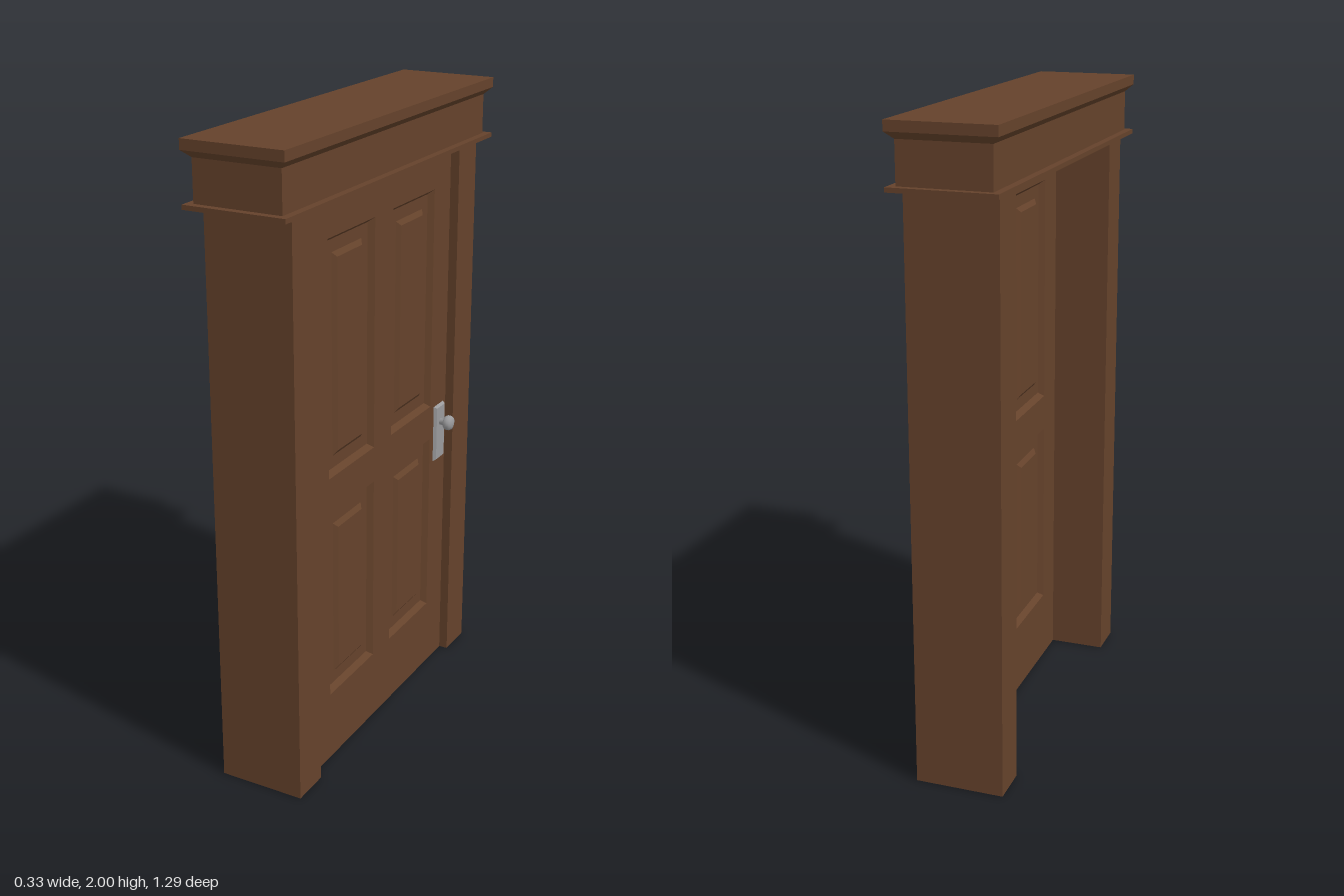
import * as THREE from 'three';

const wood = new THREE.MeshStandardMaterial({ color: 0x65422b, side: THREE.DoubleSide });
wood.name = 'brown wood';
const metal = new THREE.MeshStandardMaterial({ color: 0x9a9a9c });
metal.name = 'grey metal';

const CX = -0.002;         // middle of the frame's depth
const DOOR_T = 0.067;      // door thickness
const DOOR_X = 0.0735;     // middle of the door's depth

function add(parent, name, geometry, material, x = 0, y = 0, z = 0) {
  const mesh = new THREE.Mesh(geometry, material);
  mesh.name = name;
  mesh.position.set(x, y, z);
  parent.add(mesh);
  return mesh;
}

// Box whose bottom face is pulled in by an inset
function taperedBox(w, h, d, inset) {
  const g = new THREE.BoxGeometry(w, h, d);
  const p = g.attributes.position;
  for (let i = 0; i < p.count; i++) {
    if (p.getY(i) < 0) {
      p.setX(i, p.getX(i) - Math.sign(p.getX(i)) * inset);
      p.setZ(i, p.getZ(i) - Math.sign(p.getZ(i)) * inset);
    }
  }
  g.computeVertexNormals();
  return g;
}

// Upright post, open underneath
function postGeometry(w, h, d) {
  const g = new THREE.BoxGeometry(w, h, d);
  const index = Array.from(g.index.array);
  index.splice(18, 6);
  g.setIndex(index);
  return g;
}

// Sunken panel: nested rectangles given as [inset, depth], closed by the last one
function panelGeometry([x0, x1, y0, y1], steps) {
  const loops = steps.map(([i, z]) => [
    [x0 + i, y0 + i, z], [x1 - i, y0 + i, z], [x1 - i, y1 - i, z], [x0 + i, y1 - i, z],
  ]);
  const pos = [];
  const quad = (a, b, c, d) => pos.push(...a, ...b, ...c, ...a, ...c, ...d);
  for (let s = 0; s < loops.length - 1; s++) {
    for (let k = 0; k < 4; k++) {
      const n = (k + 1) % 4;
      quad(loops[s][k], loops[s][n], loops[s + 1][n], loops[s + 1][k]);
    }
  }
  quad(...loops[loops.length - 1]);
  const g = new THREE.BufferGeometry();
  g.setAttribute('position', new THREE.Float32BufferAttribute(pos, 3));
  g.computeVertexNormals();
  return g;
}

// Handle: bevelled plate and turned knob, pointing along +z
function makeHandle(name) {
  const handle = new THREE.Group();
  handle.name = name;
  const plate = taperedBox(0.07, 0.01, 0.195, 0.006);
  plate.rotateX(-Math.PI / 2);
  add(handle, 'handlePlate', plate, metal, 0, 0.855, 0.005);
  const profile = [
    [0.011, 0], [0.011, 0.024], [0.021, 0.027], [0.025, 0.034],
    [0.025, 0.043], [0.021, 0.051], [0.012, 0.055], [0, 0.056],
  ].map(([r, y]) => new THREE.Vector2(r, y));
  const knob = new THREE.LatheGeometry(profile, 20);
  knob.rotateX(Math.PI / 2);
  add(handle, 'knob', knob, metal, 0, 0.892, 0);
  return handle;
}

function makeDoor() {
  const door = new THREE.Group();
  door.name = 'door';
  const half = DOOR_T / 2;

  const panels = [];
  for (const [u0, u1] of [[-0.339, -0.057], [0.057, 0.339]]) {
    for (const [y0, y1] of [[0.228, 0.847], [0.963, 1.692]]) panels.push([u0, u1, y0, y1]);
  }

  // Slab with four openings
  const shape = new THREE.Shape();
  shape.moveTo(-0.452, 0).lineTo(0.452, 0).lineTo(0.452, 1.81).lineTo(-0.452, 1.81).closePath();
  for (const [u0, u1, y0, y1] of panels) {
    const hole = new THREE.Path();
    hole.moveTo(u0, y0).lineTo(u0, y1).lineTo(u1, y1).lineTo(u1, y0).closePath();
    shape.holes.push(hole);
  }
  const slab = new THREE.ExtrudeGeometry(shape, { depth: DOOR_T, bevelEnabled: false });
  add(door, 'doorSlab', slab, wood, 0, 0, -half);

  // Raised-field panels on both faces
  const steps = [[0, half], [0.014, half - 0.018], [0.053, half - 0.018], [0.068, half - 0.007]];
  for (const side of [0, 1]) {
    const face = new THREE.Group();
    face.name = side ? 'backPanels' : 'frontPanels';
    for (const p of panels) add(face, 'panel', panelGeometry(p, steps), wood);
    face.rotation.y = side * Math.PI;
    door.add(face);
  }

  // Handles on both faces
  for (const side of [1, -1]) {
    const handle = makeHandle(side > 0 ? 'frontHandle' : 'backHandle');
    handle.position.set(0.399, 0, side * half);
    if (side < 0) handle.rotation.y = Math.PI;
    door.add(handle);
  }

  // The door looks along +x
  door.rotation.y = Math.PI / 2;
  door.position.x = DOOR_X;
  return door;
}

export function createModel() {
  const model = new THREE.Group();
  model.name = 'doorway';

  // Side posts
  for (const s of [1, -1]) {
    add(model, s > 0 ? 'leftPost' : 'rightPost', postGeometry(0.277, 1.81, 0.125), wood, CX, 0.905, s * 0.5145);
  }

  // Header: lower lip, frieze, cove and cap
  const header = new THREE.Group();
  header.name = 'header';
  model.add(header);
  add(header, 'lowerLip', new THREE.BoxGeometry(0.322, 0.014, 1.29), wood, CX, 1.816, 0);
  add(header, 'frieze', new THREE.BoxGeometry(0.277, 0.125, 1.245), wood, CX, 1.8855, 0);
  add(header, 'cove', taperedBox(0.322, 0.021, 1.29, 0.0225), wood, CX, 1.9585, 0);
  add(header, 'cap', new THREE.BoxGeometry(0.322, 0.031, 1.29), wood, CX, 1.9845, 0);

  model.add(makeDoor());
  return model;
}
